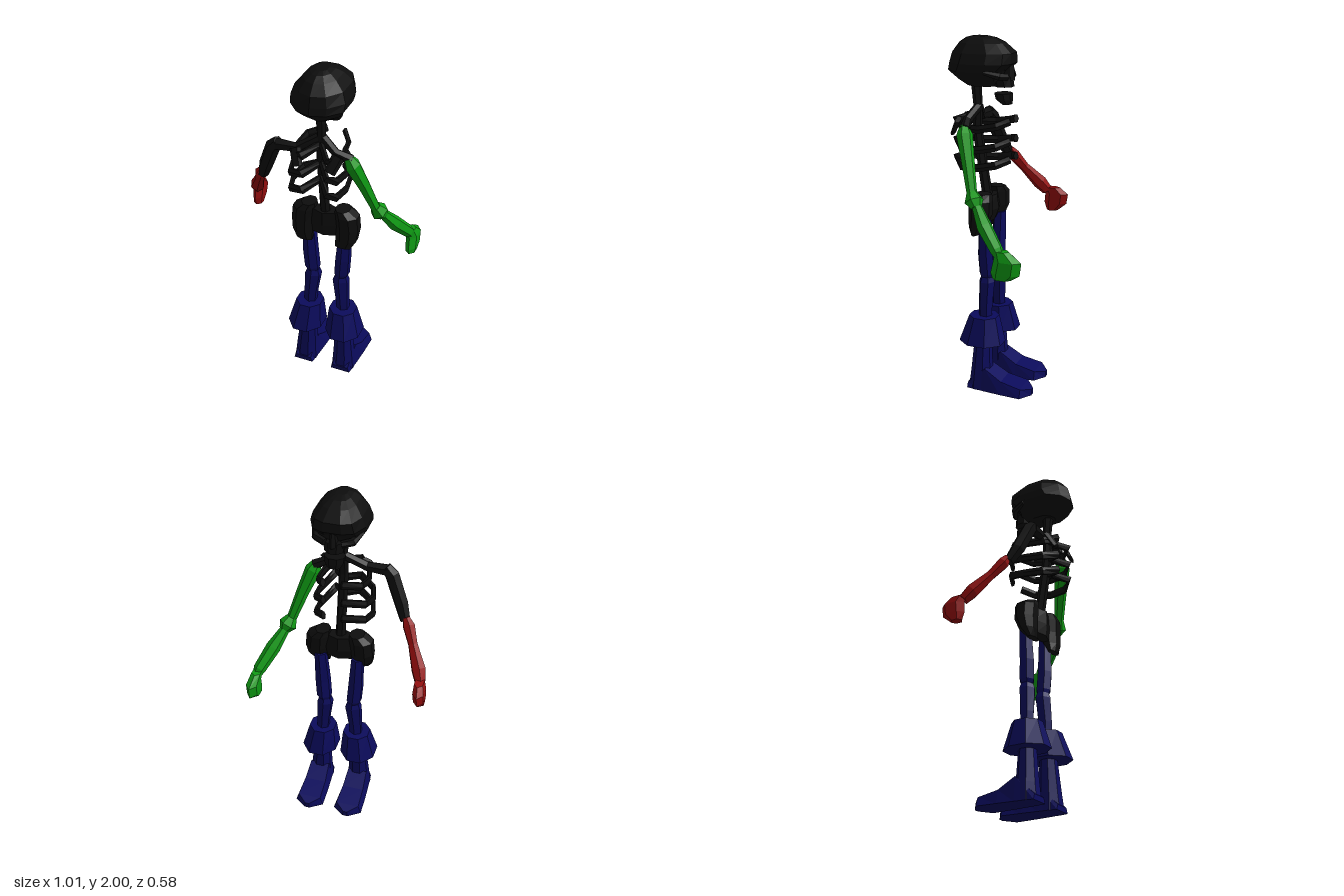
import * as THREE from 'three';

const CX = 0.04; // symmetry plane of the trunk and legs
const V = (x, y, z) => new THREE.Vector3(x, y, z);

// Faceted skin over a list of rings, closed at both ends
function loft(rings) {
  const pos = [];
  const tri = (...p) => p.forEach((v) => pos.push(v.x, v.y, v.z));
  const mid = (r) => r.reduce((s, p) => s.add(p), V(0, 0, 0)).divideScalar(r.length);
  const n = rings[0].length, first = rings[0], last = rings[rings.length - 1];
  const c0 = mid(first), c1 = mid(last);
  for (let i = 0; i < n; i++) {
    const j = (i + 1) % n;
    for (let k = 0; k < rings.length - 1; k++) {
      const a = rings[k], b = rings[k + 1];
      tri(a[i], b[i], a[j]);
      tri(a[j], b[i], b[j]);
    }
    tri(c0, first[i], first[j]);
    tri(c1, last[j], last[i]);
  }
  const g = new THREE.BufferGeometry();
  g.setAttribute('position', new THREE.Float32BufferAttribute(pos, 3));
  g.computeVertexNormals();
  return g;
}

// Stack of horizontal rings, bottom to top: [x, y, z, rx, rz]
function stack(rows, sides = 8) {
  return loft(rows.map(([x, y, z, rx, rz]) => Array.from({ length: sides }, (_, i) => {
    const a = ((i + 0.5) / sides) * Math.PI * 2, k = 1 / Math.cos(Math.PI / sides);
    return V(x + Math.cos(a) * rx * k, y, z + Math.sin(a) * rz * k);
  })));
}

// Bone along a path: [x, y, z, radius, second radius]
function bone(path, sides = 6, ref = V(0, 0, 1)) {
  const pts = path.map((p) => V(p[0], p[1], p[2]));
  return loft(pts.map((p, i) => {
    const t = pts[Math.min(i + 1, pts.length - 1)].clone().sub(pts[Math.max(i - 1, 0)]).normalize();
    const u = ref.clone().cross(t).normalize(), v = u.clone().cross(t);
    const ru = path[i][3], rv = path[i][4] ?? ru;
    return Array.from({ length: sides }, (_, k) => {
      const a = (k / sides) * Math.PI * 2;
      return p.clone().addScaledVector(u, Math.cos(a) * ru).addScaledVector(v, Math.sin(a) * rv);
    });
  }));
}

export function createModel() {
  const model = new THREE.Group();
  model.name = 'skeleton';
  const mat = (name, color) => {
    const m = new THREE.MeshStandardMaterial({ color });
    m.name = name;
    return m;
  };
  const black = mat('black', 0x0d0d0d), blue = mat('navy', 0x0b0b5c);
  const green = mat('green', 0x0f9a14), red = mat('red', 0x930e0e);
  const add = (name, geometry, material) => {
    const m = new THREE.Mesh(geometry, material);
    m.name = name;
    model.add(m);
    return m;
  };

  // Skull: [y, half width, front z, back z]
  const half = [[0, 1], [0.55, 0.85], [1, 0.4], [1, -0.4], [0.75, -0.85], [0.35, -1]];
  const outline = [...half, ...half.slice(1).reverse().map(([x, z]) => [-x, z])].reverse();
  add('skull', loft([
    [1.735, 0.06, 0.02, 0.18], [1.77, 0.11, -0.02, 0.23], [1.82, 0.145, -0.04, 0.29],
    [1.86, 0.148, -0.085, 0.285], [1.915, 0.13, -0.085, 0.27], [1.965, 0.09, -0.03, 0.23],
    [1.99, 0.055, 0.02, 0.19], [2, 0.03, 0.07, 0.15],
  ].map(([y, w, f, b]) => outline.map(([x, z]) =>
    V(CX + x * w, y, (f + b) / 2 + z * (b - f) / 2)))), black);

  // Face: upper jaw, nose ridge, cheekbones and loose lower jaw
  add('upperJaw', stack([[CX, 1.735, -0.03, 0.05, 0.05], [CX, 1.79, -0.02, 0.06, 0.05]], 8), black);
  add('noseRidge', stack([[CX, 1.77, -0.05, 0.02, 0.035], [CX, 1.86, -0.05, 0.012, 0.03]], 6), black);
  for (const s of [-1, 1]) {
    add('cheekbone', bone([[CX + s * 0.045, 1.79, -0.06, 0.02], [CX + s * 0.1, 1.8, -0.035, 0.022],
      [CX + s * 0.13, 1.82, 0.04, 0.012]], 6, V(0, 1, 0)), black);
  }
  add('lowerJaw', stack([[CX, 1.64, -0.045, 0.035, 0.025], [CX, 1.665, -0.03, 0.05, 0.042],
    [CX, 1.7, -0.025, 0.055, 0.045]], 8), black);

  // Spine and neck
  add('spine', bone([[CX, 1.05, 0.06, 0.03], [CX, 1.3, 0.1, 0.028], [CX, 1.5, 0.13, 0.028],
    [CX, 1.62, 0.125, 0.025], [CX, 1.76, 0.135, 0.03]]), black);

  // Rib cage, narrower on one side
  [1.51, 1.4, 1.3].forEach((y, i) => {
    for (const [s, w] of [[-1, 0.185], [1, 0.125]]) {
      const k = i === 0 ? 0.85 : 1;
      add('rib', bone([
        [CX, y + 0.07, 0.13, 0.014, 0.024], [CX + s * 0.07, y + 0.035, 0.23, 0.014, 0.026],
        [CX + s * w * k * 0.85, y, 0.18, 0.014, 0.026], [CX + s * w * k, y, 0.08, 0.014, 0.024],
        [CX + s * w * k * 0.9, y + 0.02, -0.02, 0.014, 0.024],
        [CX + s * 0.05, y + 0.045, -0.08, 0.014, 0.024],
      ], 6, V(0, 1, 0)), black);
    }
  });

  // Collarbones and shoulder blades
  add('collarbone', bone([[CX, 1.62, 0.12, 0.025], [-0.08, 1.545, 0.16, 0.028],
    [-0.2, 1.54, 0.16, 0.035]]), black);
  add('collarbone', bone([[CX, 1.62, 0.12, 0.025], [0.13, 1.555, 0.15, 0.025],
    [0.21, 1.52, 0.13, 0.03]]), black);
  for (const s of [-1, 1]) {
    add('shoulderBlade', bone([[CX + s * 0.09, 1.48, 0.235, 0.03, 0.012],
      [CX + s * 0.12, 1.56, 0.19, 0.035, 0.015]]), black);
  }

  // Pelvis: centre block with two hip lobes
  add('pelvisCentre', stack([[CX, 0.98, 0.07, 0.07, 0.035], [CX, 1.05, 0.06, 0.09, 0.05],
    [CX, 1.13, 0.065, 0.07, 0.045]], 6), black);
  for (const s of [-1, 1]) {
    const x = (d) => CX + s * d;
    add('hip', stack([[x(0.115), 0.92, 0.095, 0.045, 0.02], [x(0.13), 0.97, 0.075, 0.06, 0.045],
      [x(0.132), 1.04, 0.06, 0.066, 0.06], [x(0.125), 1.12, 0.06, 0.065, 0.062],
      [x(0.1), 1.155, 0.06, 0.04, 0.05]]), black);
  }

  // Arm with the red forearm
  add('rightUpperArm', bone([[-0.19, 1.56, 0.16, 0.03], [-0.225, 1.52, 0.155, 0.042],
    [-0.29, 1.37, 0.12, 0.04], [-0.325, 1.285, 0.085, 0.03]]), black);
  add('rightForearm', bone([[-0.33, 1.31, 0.08, 0.02], [-0.35, 1.27, 0.065, 0.036],
    [-0.39, 1.19, 0.01, 0.028], [-0.445, 1.09, -0.07, 0.042], [-0.465, 1.04, -0.11, 0.032]]), red);
  add('rightHand', stack([[-0.478, 0.915, -0.14, 0.024, 0.03], [-0.478, 0.96, -0.16, 0.028, 0.06],
    [-0.475, 1.02, -0.168, 0.03, 0.062], [-0.468, 1.06, -0.14, 0.024, 0.045]], 6), red);

  // Green arm
  add('leftUpperArm', bone([[0.195, 1.535, 0.14, 0.025], [0.215, 1.49, 0.13, 0.045],
    [0.265, 1.36, 0.09, 0.036], [0.32, 1.2, 0.045, 0.028]]), green);
  add('leftElbow', bone([[0.32, 1.205, 0.045, 0.03], [0.338, 1.165, 0.025, 0.052],
    [0.355, 1.135, 0.005, 0.03]]), green);
  add('leftForearm', bone([[0.345, 1.15, 0.01, 0.026], [0.4, 1.05, -0.06, 0.042],
    [0.455, 0.95, -0.15, 0.036], [0.465, 0.92, -0.17, 0.025]]), green);
  add('leftHand', stack([[0.472, 0.8, -0.185, 0.027, 0.045], [0.472, 0.83, -0.203, 0.03, 0.07],
    [0.47, 0.9, -0.215, 0.031, 0.067], [0.46, 0.95, -0.18, 0.026, 0.035]], 6), green);

  // Legs, boots and cuffs
  for (const s of [-1, 1]) {
    const x = (d) => CX + s * d;
    add('thigh', stack([[x(0.088), 0.665, 0.04, 0.03, 0.03], [x(0.092), 0.69, 0.04, 0.04, 0.038],
      [x(0.1), 0.8, 0.045, 0.04, 0.038], [x(0.11), 1, 0.04, 0.032, 0.033]], 6), blue);
    add('shin', stack([[x(0.105), 0.4, 0.045, 0.032, 0.032], [x(0.1), 0.5, 0.045, 0.036, 0.036],
      [x(0.087), 0.64, 0.04, 0.044, 0.04], [x(0.087), 0.67, 0.04, 0.034, 0.03]], 6), blue);
    add('bootCuff', stack([[x(0.12), 0.285, 0.057, 0.104, 0.125],
      [x(0.106), 0.44, 0.05, 0.076, 0.08]], 8), blue);
    add('bootShaft', stack([[x(0.122), 0, 0.06, 0.068, 0.07], [x(0.12), 0.1, 0.06, 0.06, 0.058],
      [x(0.112), 0.3, 0.055, 0.045, 0.045]], 8), blue);
    // Foot: [z, half width, height]
    add('foot', loft([[0.13, 0.06, 0.03], [0.02, 0.072, 0.135], [-0.08, 0.08, 0.075],
      [-0.2, 0.086, 0.05], [-0.25, 0.015, 0.035]].map(([z, w, h]) => {
      const c = x(0.122);
      return [V(c - w, 0, z), V(c + w, 0, z), V(c + w * 0.8, h, z), V(c - w * 0.8, h, z)];
    })), blue);
  }
  return model;
}
